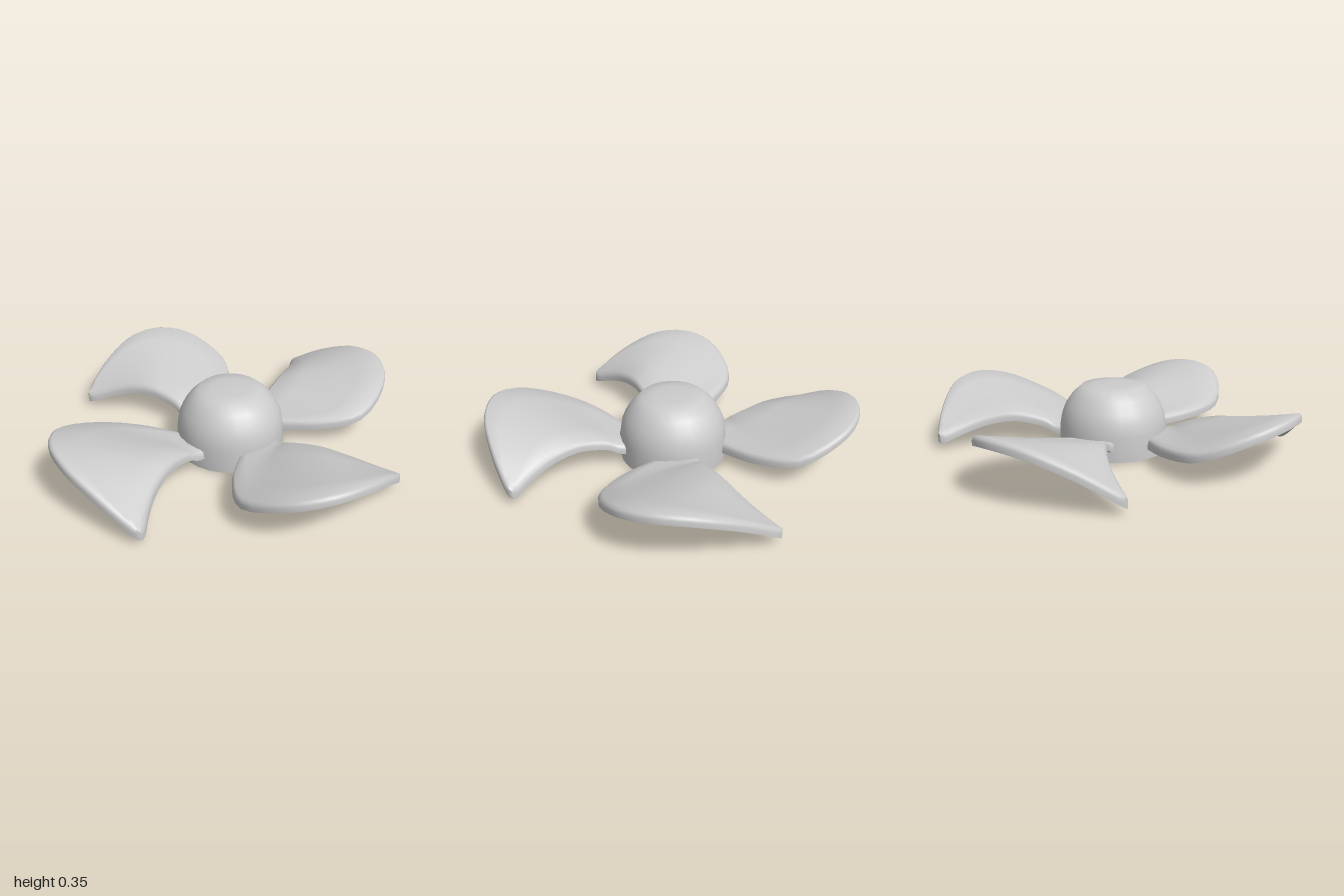
import * as THREE from 'three';
import { toCreasedNormals } from 'three/addons/utils/BufferGeometryUtils.js';

const STATIONS = 28;
const THICK = 0.05;
const curve = (pts) => new THREE.CatmullRomCurve3(pts.map((p) => new THREE.Vector3(...p)));

// Underside edges of the blade that points along +x, from root to swept tip
const hollowEdge = curve([
  [0.2, 0.06, -0.11], [0.3, 0.07, -0.115], [0.35, 0.095, -0.12], [0.42, 0.115, -0.14],
  [0.52, 0.13, -0.18], [0.65, 0.11, -0.25], [0.75, 0.07, -0.33], [0.82, 0.035, -0.4], [0.843, 0.03, -0.412],
]);
const roundEdge = curve([
  [0.2, 0.045, 0.08], [0.4, 0.08, 0.31], [0.6, 0.12, 0.42], [0.85, 0.22, 0.35],
  [0.97, 0.26, 0.2], [1, 0.245, 0], [0.95, 0.16, -0.22], [0.88, 0.06, -0.38], [0.862, 0.04, -0.405],
]);

// Closed section: flat underside, upright rim, rounded upper edges.
// Each entry is [fraction across, inset from the edge, height].
const section = [
  [0, 0, 0], [0.25, 0, 0], [0.5, 0, 0], [0.75, 0, 0], [1, 0, 0],
  [1, 0, 0.026], [1, -0.006, 0.04], [1, -0.022, THICK],
  [0.75, 0, THICK], [0.5, 0, THICK], [0.25, 0, THICK],
  [0, 0.022, THICK], [0, 0.006, 0.04], [0, 0, 0.026],
];

function bladeGeometry() {
  const pos = [], index = [], n = section.length;
  for (let i = 0; i <= STATIONS; i++) {
    const a = hollowEdge.getPoint(i / STATIONS);
    const b = roundEdge.getPoint(i / STATIONS);
    const width = Math.max(a.distanceTo(b), 0.08);
    for (const [u, inset, h] of section) {
      const p = a.clone().lerp(b, u + inset / width);
      pos.push(p.x, p.y + h, p.z);
    }
  }
  for (let i = 0; i < STATIONS; i++) {
    for (let j = 0; j < n; j++) {
      const k = (j + 1) % n, r = i * n, s = r + n;
      index.push(r + j, s + j, r + k, r + k, s + j, s + k);
    }
  }
  // End caps
  const last = STATIONS * n;
  for (let j = 1; j < n - 1; j++) {
    index.push(0, j, j + 1, last, last + j + 1, last + j);
  }
  const g = new THREE.BufferGeometry();
  g.setAttribute('position', new THREE.Float32BufferAttribute(pos, 3));
  g.setIndex(index);
  return toCreasedNormals(g, 0.9);
}

export function createModel() {
  const model = new THREE.Group();
  model.name = 'propeller';
  const material = new THREE.MeshStandardMaterial({ color: 0xcccccc });

  // Domed hub with a flat base
  const profile = [
    [0, 0], [0.29, 0], [0.29, 0.13], [0.28, 0.19], [0.258, 0.245],
    [0.22, 0.3], [0.17, 0.345], [0.1, 0.352], [0, 0.355],
  ].map(([r, y]) => new THREE.Vector2(r, y));
  const hub = new THREE.Mesh(toCreasedNormals(new THREE.LatheGeometry(profile, 24), 0.9), material);
  hub.name = 'hub';
  model.add(hub);

  // Four identical blades
  const geometry = bladeGeometry();
  for (let i = 0; i < 4; i++) {
    const blade = new THREE.Mesh(geometry, material);
    blade.name = `blade${i + 1}`;
    blade.rotation.y = (i * Math.PI) / 2;
    model.add(blade);
  }
  return model;
}
